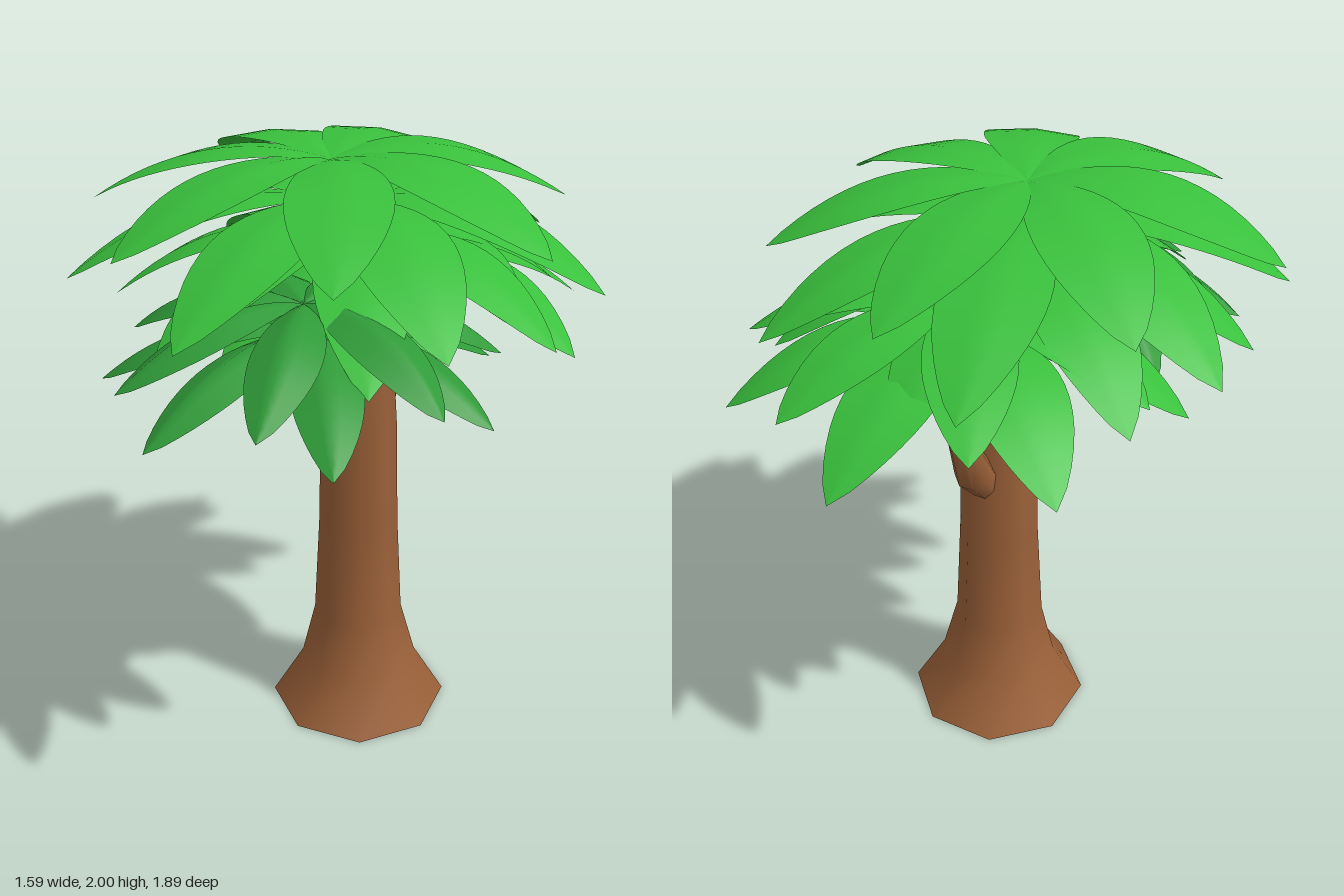
import * as THREE from 'three';
import { toCreasedNormals } from 'three/addons/utils/BufferGeometryUtils.js';

const bark = new THREE.MeshStandardMaterial({ color: 0x9a6038 });
const leafGreen = new THREE.MeshStandardMaterial({ color: 0x39c03c, side: THREE.DoubleSide });
const shadeGreen = new THREE.MeshStandardMaterial({ color: 0x2f9a38, side: THREE.DoubleSide });

// Capped eight-sided limb through rings of [x, y, z, radius]
function limb(name, rings) {
  const sides = 8, pos = [], idx = [];
  const pts = rings.map(r => new THREE.Vector3(r[0], r[1], r[2]));
  const xAxis = new THREE.Vector3(1, 0, 0);
  rings.forEach((ring, i) => {
    const t = pts[Math.min(i + 1, pts.length - 1)].clone().sub(pts[Math.max(i - 1, 0)]).normalize();
    const b = xAxis.clone().cross(t).normalize();
    for (let j = 0; j < sides; j++) {
      const a = (j + 0.5) / sides * Math.PI * 2;
      const p = pts[i].clone().addScaledVector(xAxis, Math.cos(a) * ring[3]).addScaledVector(b, Math.sin(a) * ring[3]);
      pos.push(p.x, p.y, p.z);
    }
  });
  const last = (rings.length - 1) * sides, c0 = rings.length * sides, c1 = c0 + 1;
  pos.push(...pts[0].toArray(), ...pts[pts.length - 1].toArray());
  for (let j = 0; j < sides; j++) {
    const k = (j + 1) % sides;
    for (let i = 0; i < last; i += sides) {
      idx.push(i + j, i + sides + j, i + k, i + k, i + sides + j, i + sides + k);
    }
    idx.push(c0, j, k, c1, last + k, last + j);
  }
  const geo = new THREE.BufferGeometry();
  geo.setAttribute('position', new THREE.Float32BufferAttribute(pos, 3));
  geo.setIndex(idx);
  const mesh = new THREE.Mesh(toCreasedNormals(geo, 0.9), bark);
  mesh.name = name;
  return mesh;
}

// Drooping leaf along +x: folded along its midrib and rolled slightly so that
// one edge lies over the neighbouring leaf
function leafGeometry({ length, width, drop, fold }) {
  const nu = 16, nv = 6, bend = 0.08, roll = 0.04, pos = [], idx = [];
  for (let i = 0; i <= nu; i++) {
    const u = i / nu;
    const half = width / 2 * Math.pow(Math.sin(Math.PI * Math.pow(u, 1.12)), 0.76);
    const h = -drop * Math.pow((u - 0.28) / 0.72, 2);
    for (let j = 0; j <= nv; j++) {
      const v = j / nv * 2 - 1;
      pos.push(length * u, h - (fold * Math.abs(v) + roll * v) * half, v * half - bend * u * (1 - u));
    }
  }
  for (let i = 0; i < nu; i++) {
    for (let j = 0; j < nv; j++) {
      const a = i * (nv + 1) + j, b = a + nv + 1;
      idx.push(a, a + 1, b, b, a + 1, b + 1);
    }
  }
  const geo = new THREE.BufferGeometry();
  geo.setAttribute('position', new THREE.Float32BufferAttribute(pos, 3));
  geo.setIndex(idx);
  geo.computeVertexNormals();
  return geo;
}

// Seven leaves around a centre; angle is in degrees from +x towards the back
function whorl(name, center, startAngle, shape, material) {
  const group = new THREE.Group();
  group.name = name;
  group.position.set(...center);
  const geo = leafGeometry(shape);
  for (let i = 0; i < 7; i++) {
    const leaf = new THREE.Mesh(geo, material);
    leaf.name = 'leaf';
    leaf.rotation.y = THREE.MathUtils.degToRad(startAngle + i * 360 / 7);
    group.add(leaf);
  }
  return group;
}

export function createModel() {
  const tree = new THREE.Group();
  tree.name = 'tree';

  // Flared trunk and two branches
  tree.add(
    limb('trunk', [
      [0.048, 0, -0.048, 0.308], [0.048, 0.18, -0.048, 0.2], [0.046, 0.37, -0.045, 0.152],
      [0.046, 0.72, -0.045, 0.134], [0.048, 1.08, -0.04, 0.126], [0.053, 1.56, -0.04, 0.092],
    ]),
    limb('frontBranch', [
      [0.045, 1.2, -0.02, 0.065], [0.045, 1.26, 0.07, 0.055], [0.045, 1.41, 0.28, 0.035],
      [0.04, 1.49, 0.335, 0.026], [0.04, 1.62, 0.37, 0.014],
    ]),
    limb('backBranch', [
      [0.05, 0.92, -0.1, 0.05], [0.05, 1.04, -0.2, 0.064], [0.05, 1.18, -0.262, 0.045],
      [0.05, 1.35, -0.268, 0.035], [0.05, 1.5, -0.262, 0.022], [0.05, 1.6, -0.26, 0.014],
    ]),
  );

  // Main crown, from the top down
  tree.add(
    whorl('topLeaves', [-0.03, 1.997, 0], 36, { length: 0.76, width: 0.3, drop: 0.19, fold: 0.1 }, leafGreen),
    whorl('upperLeaves', [-0.01, 1.88, 0], 4, { length: 0.82, width: 0.31, drop: 0.245, fold: 0.12 }, leafGreen),
    whorl('middleLeaves', [0, 1.76, -0.02], -11, { length: 0.73, width: 0.28, drop: 0.25, fold: 0.12 }, leafGreen),
  );

  // Crown of the back branch
  tree.add(
    whorl('backUpperLeaves', [0.05, 1.72, -0.27], 20, { length: 0.64, width: 0.26, drop: 0.18, fold: 0.1 }, leafGreen),
    whorl('backLowerLeaves', [0.05, 1.63, -0.27], 39, { length: 0.69, width: 0.28, drop: 0.23, fold: 0.12 }, leafGreen),
  );

  // Crown of the front branch, with narrower, sharply folded leaves
  tree.add(
    whorl('frontUpperLeaves', [0.04, 1.68, 0.37], -27, { length: 0.57, width: 0.2, drop: 0.19, fold: 0.45 }, shadeGreen),
    whorl('frontLowerLeaves', [0.04, 1.6, 0.37], -8, { length: 0.6, width: 0.2, drop: 0.2, fold: 0.45 }, shadeGreen),
  );
  return tree;
}
